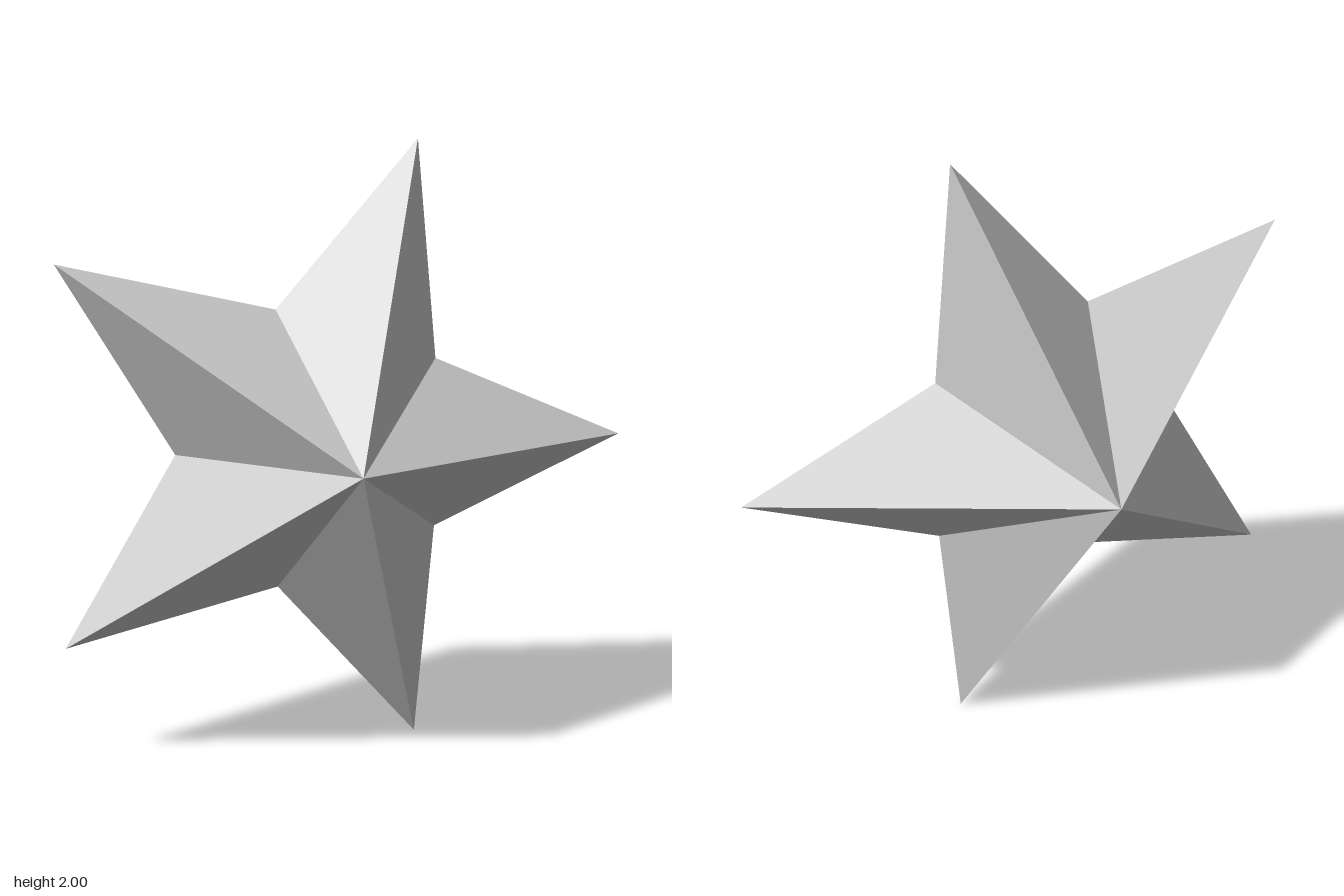
import * as THREE from 'three';

const POINTS = 5, OUTER = 1.0515, INNER = 0.483, DEPTH = 0.523;

// Rim vertex i: even ones are tips, odd ones are notches
function rim(i) {
  const r = i % 2 ? INNER : OUTER;
  const a = (i * Math.PI) / POINTS;
  return [r * Math.cos(a), r * Math.sin(a), 0];
}

export function createModel() {
  const group = new THREE.Group();
  group.name = 'star';

  // Each rim edge joins the front apex and the back apex
  const positions = [];
  for (let i = 0; i < POINTS * 2; i++) {
    const a = rim(i), b = rim((i + 1) % (POINTS * 2));
    positions.push(...a, ...b, 0, 0, DEPTH);
    positions.push(...b, ...a, 0, 0, -DEPTH);
  }
  const geometry = new THREE.BufferGeometry();
  geometry.setAttribute('position', new THREE.Float32BufferAttribute(positions, 3));
  geometry.computeVertexNormals();

  const body = new THREE.Mesh(
    geometry,
    new THREE.MeshStandardMaterial({ color: 0xcccccc, flatShading: true })
  );
  body.name = 'starBody';
  body.position.set(-0.1005, 1, 0);
  group.add(body);
  return group;
}
